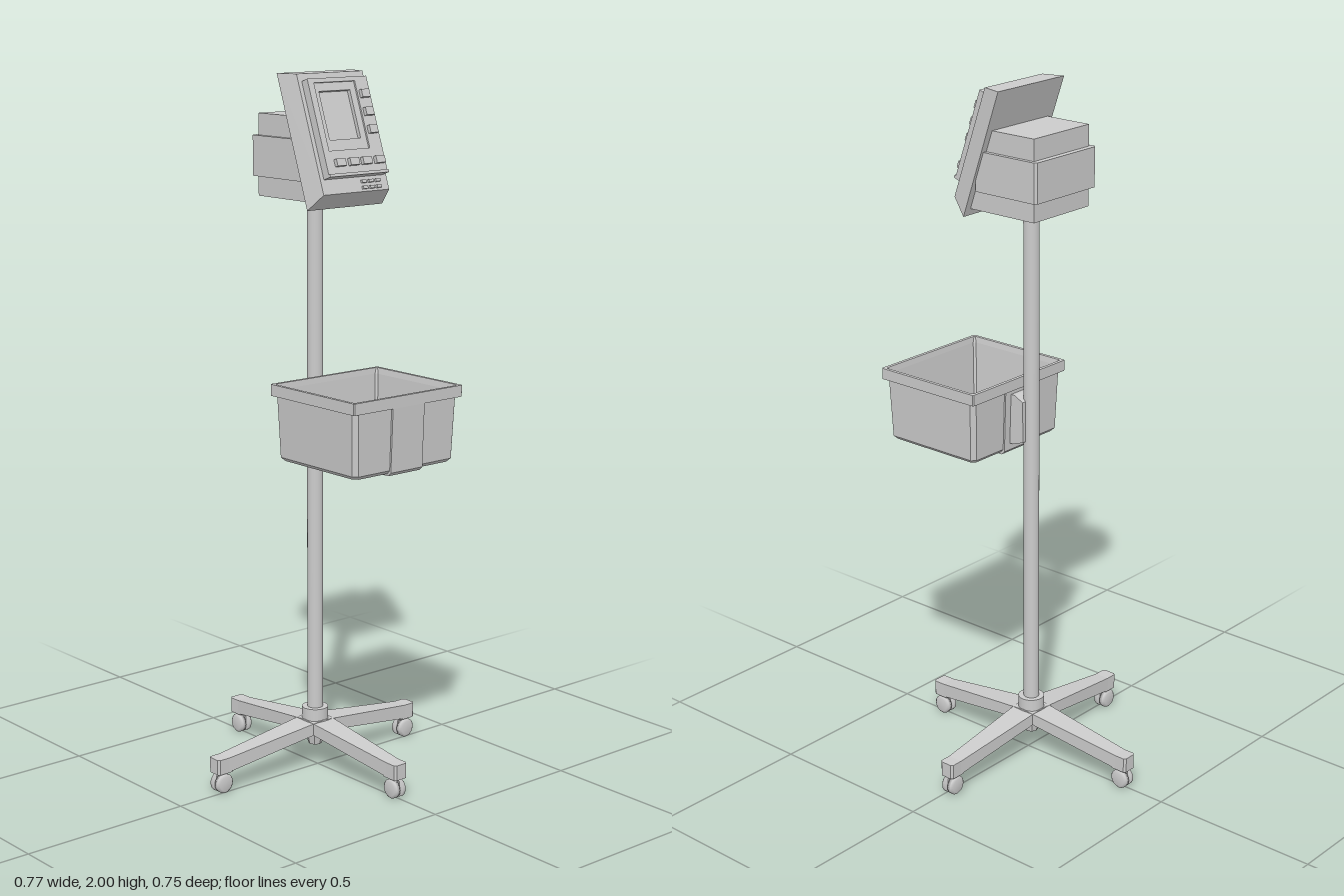
import * as THREE from 'three';

const grey = new THREE.MeshStandardMaterial({ color: 0xcccccc, side: THREE.DoubleSide });
const AXIS = -0.012; // x of the pole

function add(parent, name, geometry, x = 0, y = 0, z = 0) {
  const mesh = new THREE.Mesh(geometry, grey);
  mesh.name = name;
  mesh.position.set(x, y, z);
  parent.add(mesh);
  return mesh;
}

function group(parent, name, x = 0, y = 0, z = 0) {
  const g = new THREE.Group();
  g.name = name;
  g.position.set(x, y, z);
  parent.add(g);
  return g;
}

// Rectangle with cut corners in the ground plane, at height y
function ring(hx, hz, y, c) {
  const a = hx - c, b = hz - c;
  return [[hx, b], [hx, -b], [a, -hz], [-a, -hz], [-hx, -b], [-hx, b], [-a, hz], [a, hz]]
    .map(([x, z]) => [x, y, z]);
}

// Flat-shaded skin through a stack of rings, closed at both ends
function loft(rings) {
  const pos = [], n = rings[0].length;
  const tri = (a, b, c) => pos.push(...a, ...b, ...c);
  for (let k = 0; k + 1 < rings.length; k++) {
    const a = rings[k], b = rings[k + 1];
    for (let i = 0; i < n; i++) {
      const j = (i + 1) % n;
      tri(a[i], a[j], b[j]);
      tri(a[i], b[j], b[i]);
    }
  }
  const first = rings[0], last = rings[rings.length - 1];
  for (let i = 1; i + 1 < n; i++) {
    tri(first[0], first[i + 1], first[i]);
    tri(last[0], last[i], last[i + 1]);
  }
  const g = new THREE.BufferGeometry();
  g.setAttribute('position', new THREE.Float32BufferAttribute(pos, 3));
  g.computeVertexNormals();
  return g;
}

const outline = (pts) => new THREE.Shape(pts.map(([x, y]) => new THREE.Vector2(x, y)));
const rect = (x0, y0, x1, y1) => [[x0, y0], [x1, y0], [x1, y1], [x0, y1]];

// Side profile swept across z, centred
function sweep(pts, width) {
  const g = new THREE.ExtrudeGeometry(outline(pts), { depth: width, bevelEnabled: false });
  return g.translate(0, 0, -width / 2);
}

// Plate with a rectangular opening
function frame(outer, inner, depth) {
  const s = outline(outer);
  s.holes.push(outline(inner));
  return new THREE.ExtrudeGeometry(s, { depth, bevelEnabled: false });
}

function buildBase(parent) {
  const base = group(parent, 'base', AXIS);
  add(base, 'hubCollar', new THREE.CylinderGeometry(0.038, 0.038, 0.045, 24), 0, 0.153);
  add(base, 'hubCone', new THREE.CylinderGeometry(0.038, 0.02, 0.07, 8).toNonIndexed(), 0, 0.097)
    .geometry.computeVertexNormals();

  // Leg: a bar that narrows and slopes down outwards
  const legGeo = new THREE.BoxGeometry(1, 1, 1).toNonIndexed();
  const p = legGeo.attributes.position;
  for (let i = 0; i < p.count; i++) {
    const out = p.getX(i) > 0, up = p.getY(i) > 0;
    p.setXYZ(i, out ? 0.335 : 0,
      out ? (up ? 0.104 : 0.062) : (up ? 0.142 : 0.108),
      Math.sign(p.getZ(i)) * (out ? 0.023 : 0.04));
  }
  legGeo.computeVertexNormals();
  const endGeo = loft([ring(0.027, 0.023, 0.06, 0.006), ring(0.027, 0.023, 0.104, 0.006)]);

  for (let i = 0; i < 4; i++) {
    const leg = group(base, 'leg');
    leg.rotation.y = i * Math.PI / 2;
    add(leg, 'legBar', legGeo);
    add(leg, 'legEnd', endGeo, 0.346);
    // Twin-wheel caster
    add(leg, 'casterStem', new THREE.CylinderGeometry(0.01, 0.01, 0.035, 12), 0.346, 0.046);
    add(leg, 'casterHousing', new THREE.BoxGeometry(0.03, 0.026, 0.012), 0.346, 0.036);
    for (const s of [-1, 1]) {
      const profile = [[0, -0.008], [0.028, -0.008], [0.028, 0.003], [0.021, 0.009], [0, 0.009]];
      const wheel = new THREE.LatheGeometry(profile.map(([r, y]) => new THREE.Vector2(r, y)), 20);
      add(leg, 'casterWheel', wheel, 0.346, 0.028, s * 0.0125).rotation.x = s * Math.PI / 2;
    }
  }
}

function buildBasket(parent) {
  const basket = group(parent, 'basket', 0.205);
  // Outer wall, rim lip, inner wall and floor in one skin
  add(basket, 'basketShell', loft([
    ring(0.152, 0.172, 0.948, 0.012), ring(0.161, 0.181, 0.958, 0.012),
    ring(0.167, 0.188, 1.13, 0.012), ring(0.175, 0.197, 1.13, 0.003),
    ring(0.175, 0.197, 1.162, 0.003), ring(0.165, 0.187, 1.162, 0.003),
    ring(0.163, 0.184, 1.145, 0.006), ring(0.153, 0.174, 0.96, 0.006),
  ]));
  // Raised strap wrapping down the sides and under the floor
  const strap = [[-0.172, 1.13], [-0.166, 0.952], [-0.156, 0.942], [0.156, 0.942], [0.166, 0.952],
    [0.173, 1.13], [0.164, 1.13], [0.157, 0.955], [-0.157, 0.955], [-0.164, 1.13]];
  add(basket, 'basketStrap', sweep(strap, 0.115));
  add(parent, 'basketBracket', sweep(
    [[-0.01, 0.985], [0.028, 0.972], [0.05, 0.972], [0.04, 1.12], [0.02, 1.12], [-0.01, 1.105]], 0.07));
}

function buildMonitor(parent) {
  const monitor = group(parent, 'monitor');
  add(monitor, 'rearHousing', sweep([[-0.118, 1.66], [0.112, 1.66], [0.035, 1.887], [-0.118, 1.887]], 0.228));
  add(monitor, 'housingBand', loft([ring(0.11, 0.126, 1.715, 0.007), ring(0.11, 0.126, 1.827, 0.007)]), -0.025);
  add(monitor, 'poleMount', new THREE.BoxGeometry(0.07, 0.014, 0.09), AXIS, 1.655);

  // Tilted front panel whose front edges draw inwards
  const panelGeo = sweep([[-0.012, 2], [0.115, 1.64], [0.163, 1.685], [0.05, 2]], 0.27);
  const p = panelGeo.attributes.position;
  for (let i = 0; i < p.count; i++) {
    const x = p.getX(i);
    if (x > 0.14 || (x > 0 && x < 0.1)) p.setZ(i, p.getZ(i) * 0.87);
  }
  panelGeo.computeVertexNormals();
  add(monitor, 'frontPanel', panelGeo);

  // Control face, laid flat on the tilted panel: x across, y up the slope, z outwards
  const face = group(monitor, 'controlFace', 0.057, 1.98, 0);
  face.rotation.set(-Math.atan2(0.113, 0.315), Math.PI / 2, 0, 'YXZ');
  const opening = rect(-0.085, -0.2, 0.06, -0.012);
  add(face, 'bezel', frame(rect(-0.105, -0.272, 0.105, 0), opening, 0.024));
  add(face, 'screenSurround', frame(opening, rect(-0.07, -0.17, 0.04, -0.035), 0.019));
  add(face, 'screen', new THREE.BoxGeometry(0.112, 0.137, 0.008), -0.015, -0.1025, 0.004);
  add(face, 'bezelLedge', new THREE.BoxGeometry(0.21, 0.008, 0.006), 0, -0.268, 0.026);
  const button = (name, w, h, x, y, z) => add(face, name, new THREE.BoxGeometry(w, h, 0.014), x, y, z);
  for (const y of [-0.05, -0.1, -0.15]) button('sideButton', 0.028, 0.022, 0.081, y, 0.028);
  for (const x of [-0.06, -0.012, 0.034, 0.081]) button('frontButton', 0.032, 0.02, x, -0.235, 0.028);
  for (const y of [-0.286, -0.303])
    for (const x of [0.03, 0.055, 0.08]) button('smallButton', 0.016, 0.008, x, y, 0);
}

export function createModel() {
  const model = new THREE.Group();
  model.name = 'monitorStand';
  buildBase(model);
  add(model, 'pole', new THREE.CylinderGeometry(0.0225, 0.0225, 1.54, 24), AXIS, 0.89);
  buildBasket(model);
  buildMonitor(model);
  return model;
}
